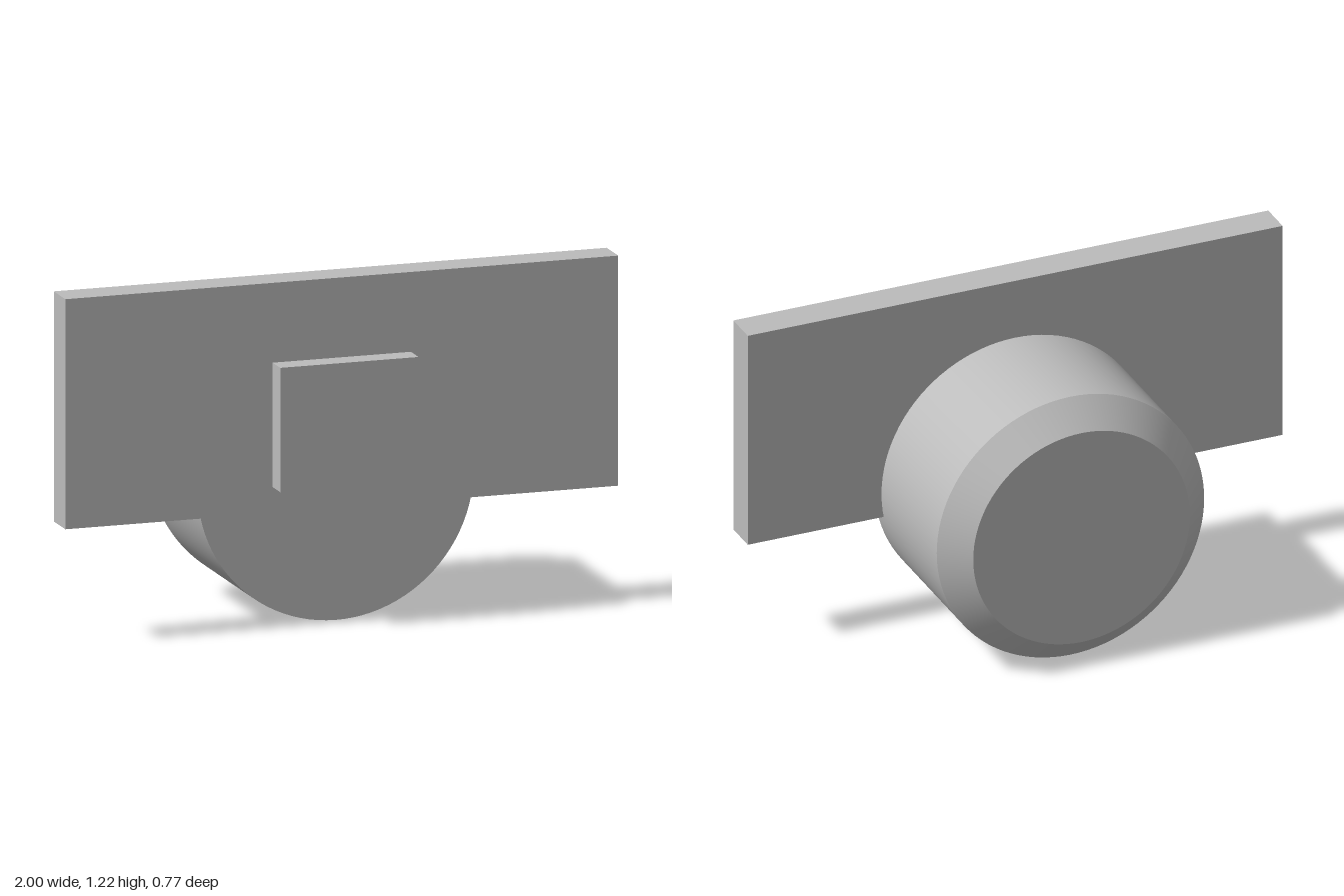
import * as THREE from 'three';
import { toCreasedNormals } from 'three/addons/utils/BufferGeometryUtils.js';

export function createModel() {
  const model = new THREE.Group();
  const grey = new THREE.MeshStandardMaterial({ color: 0xbcbcbc });
  grey.name = 'grey';

  const add = (name, geometry, y, z) => {
    const mesh = new THREE.Mesh(geometry, grey);
    mesh.name = name;
    mesh.position.set(0, y, z);
    model.add(mesh);
  };

  // Round body with a chamfered back rim, its axis running along z
  const profile = [[0, -0.385], [0.405, -0.385], [0.5, -0.29], [0.5, 0.24], [0, 0.24]]
    .map(([r, z]) => new THREE.Vector2(r, z));
  const body = new THREE.LatheGeometry(profile, 96).rotateX(Math.PI / 2);
  add('roundBody', toCreasedNormals(body, 0.5), 0.5, 0);

  // Wide plate across the front of the body
  add('widePlate', new THREE.BoxGeometry(2, 0.81, 0.123), 0.815, 0.2425);

  // Raised block on the plate
  add('frontBlock', new THREE.BoxGeometry(0.5, 0.438, 0.085), 0.72, 0.3425);

  return model;
}
